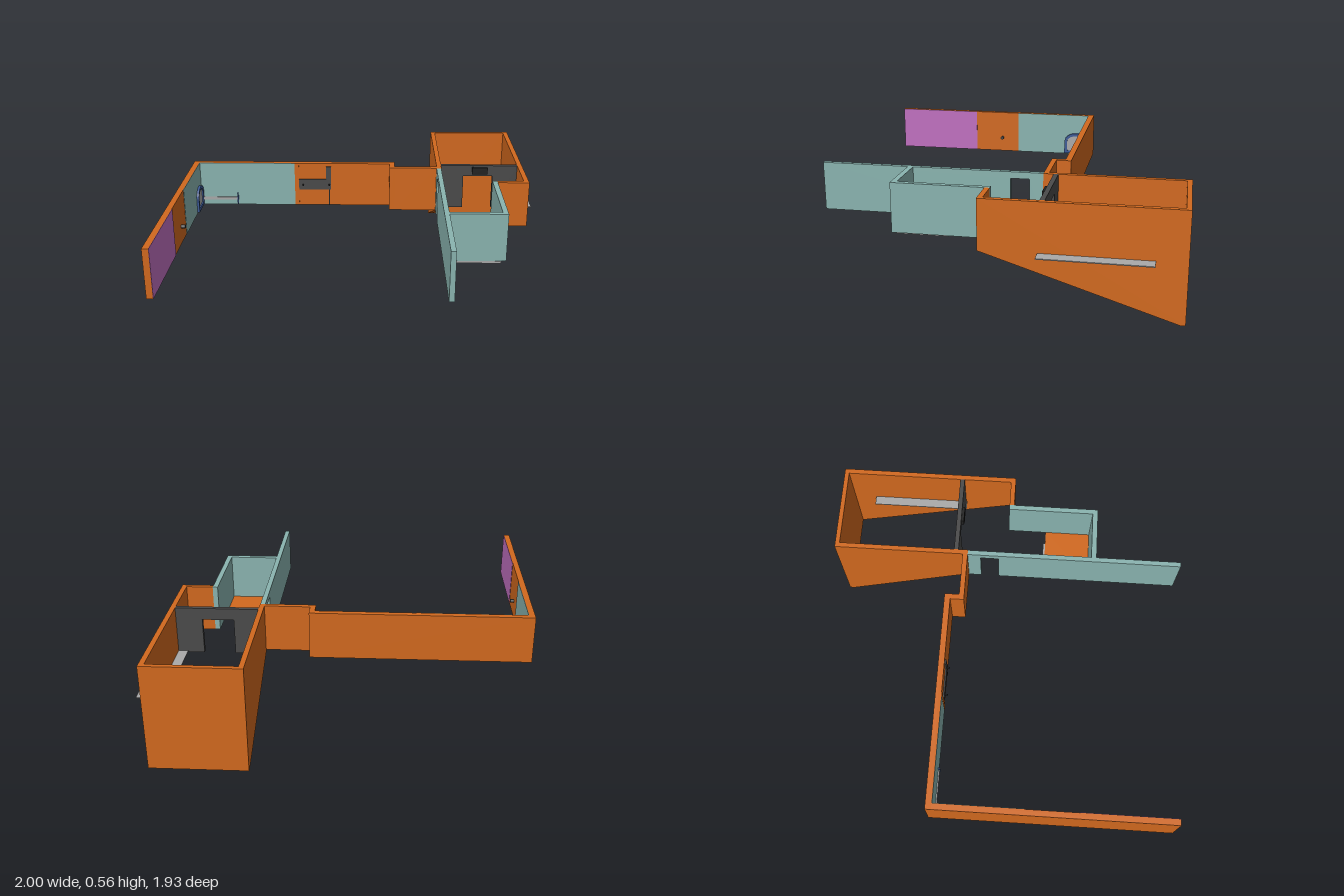
import * as THREE from 'three';

const mat = (color) => new THREE.MeshStandardMaterial({ color, side: THREE.DoubleSide });

export function createModel() {
  const group = new THREE.Group();
  const orange = mat(0xd2691e), teal = mat(0x8ab4b0), purple = mat(0xc070c0);
  const dark = mat(0x4a4a4a), grey = mat(0xaaaaaa), blue = mat(0x3c5a96), black = mat(0x222222);
  const LOW = 0.305, TOP = 0.565;

  const add = (name, geometry, material) => {
    const mesh = new THREE.Mesh(geometry, material);
    mesh.name = name;
    group.add(mesh);
    return mesh;
  };
  // Box given by its two extreme corners
  const box = (name, material, x0, x1, z0, z1, y0 = LOW, y1 = TOP) =>
    add(name, new THREE.BoxGeometry(x1 - x0, y1 - y0, z1 - z0), material)
      .position.set((x0 + x1) / 2, (y0 + y1) / 2, (z0 + z1) / 2);
  // Outline of [z, y] points extruded along +x from x0 to x1
  const sideExtrude = (name, material, points, x0, x1, holes = []) => {
    const toShape = (C, pts) => new C(pts.map(([z, y]) => new THREE.Vector2(-z, y)));
    const shape = toShape(THREE.Shape, points);
    shape.holes = holes.map((h) => toShape(THREE.Path, h));
    const g = new THREE.ExtrudeGeometry(shape, { depth: x1 - x0, bevelEnabled: false });
    g.rotateY(Math.PI / 2).translate(x0, 0, 0);
    return add(name, g, material);
  };

  // Long outer walls with the small step
  box('leftWall', orange, -1, -0.968, -0.297, 0.963);
  box('backWall', orange, -1, 0.185, -0.33, -0.297);
  box('stepWall', orange, 0.155, 0.185, -0.297, -0.222);
  box('connectingWall', orange, 0.185, 0.43, -0.25, -0.222);

  // Bay whose side walls deepen towards the back
  const slopedWall = (name, x0, x1, front) => sideExtrude(name, orange,
    [[front, TOP], [front, LOW], [-0.945, 0], [-0.97, 0], [-0.97, TOP]], x0, x1);
  slopedWall('bayLeftWall', 0.43, 0.457, -0.222);
  slopedWall('bayRightWall', 0.902, 0.93, 0.02);
  box('bayBackWall', orange, 0.457, 0.902, -0.97, -0.945, 0, TOP);
  box('bayFrontWall', orange, 0.755, 0.902, -0.007, 0.02);

  // Grey partition with doorway and a box above the door
  box('partitionLeftPost', dark, 0.457, 0.59, -0.3, -0.275);
  box('partitionRightPost', dark, 0.76, 0.902, -0.3, -0.275);
  box('partitionLintel', dark, 0.59, 0.76, -0.3, -0.275, 0.5, TOP);
  box('doorBox', black, 0.64, 0.73, -0.275, -0.26, 0.515, 0.555);

  // Shelf passing through the bay wall
  box('shelf', grey, 0.85, 1, -0.82, -0.27, 0.307, 0.312);

  // Teal entrance: long wall with a doorway, and a small box room
  sideExtrude('entranceLongWall', teal, [
    [0.965, LOW], [0.965, TOP], [-0.222, TOP], [-0.222, LOW],
    [-0.15, LOW], [-0.15, 0.53], [-0.05, 0.53], [-0.05, LOW]], 0.428, 0.455);
  box('entranceSideWall', teal, 0.727, 0.755, -0.007, 0.497);
  box('entranceFrontWall', teal, 0.455, 0.727, 0.468, 0.497);
  box('entranceFloor', grey, 0.45, 0.73, 0.21, 0.497, 0.292, 0.304);
  box('entranceFloorCover', orange, 0.455, 0.727, 0.212, 0.468, 0.304, 0.307);
  box('entranceFloorLip', grey, 0.52, 0.655, 0.2, 0.21, 0.292, 0.302);

  // Coloured panels on the inner faces
  box('purplePanel', purple, -0.968, -0.966, 0.455, 0.963);
  box('tealSidePanel', teal, -0.968, -0.966, -0.297, 0.17);
  box('tealBackPanel', teal, -0.966, -0.405, -0.297, -0.295);
  box('panelTrim', orange, -0.405, -0.38, -0.297, -0.294);

  // Arched blue frame on the left wall
  const arch = (m) => {
    const pts = [[-0.295 + m, 0.31 + m]];
    for (let i = 0; i <= 10; i++) {
      const a = Math.PI * (1 - i / 10);
      pts.push([-0.218 + Math.cos(a) * (0.077 - m), 0.39 + Math.sin(a) * (0.055 - m)]);
    }
    pts.push([-0.141 - m, 0.31 + m]);
    return pts;
  };
  sideExtrude('archFrame', blue, arch(0), -0.966, -0.953, [arch(0.018)]);
  sideExtrude('archPanel', grey, arch(0.018), -0.966, -0.961);

  // Wall knob
  const knob = add('wallKnob', new THREE.CylinderGeometry(0.01, 0.01, 0.022, 12), dark);
  knob.rotation.z = Math.PI / 2;
  knob.position.set(-0.957, 0.395, 0.28);

  // Rail with its end post
  box('rail', grey, -0.96, -0.75, -0.295, -0.288, 0.336, 0.354);
  box('railPost', blue, -0.752, -0.745, -0.295, -0.286, 0.31, 0.38);

  // Dark board with an upright end and thin leg
  box('board', dark, -0.38, -0.22, -0.297, -0.289, 0.405, 0.468);
  box('boardUpright', dark, -0.22, -0.19, -0.297, -0.289, 0.405, 0.545);
  box('boardLeg', black, -0.203, -0.198, -0.297, -0.292, LOW, 0.405);
  for (const x of [-0.355, -0.2])
    box('boardKnob', black, x - 0.004, x + 0.004, -0.289, -0.274, 0.432, 0.44);

  return group;
}
